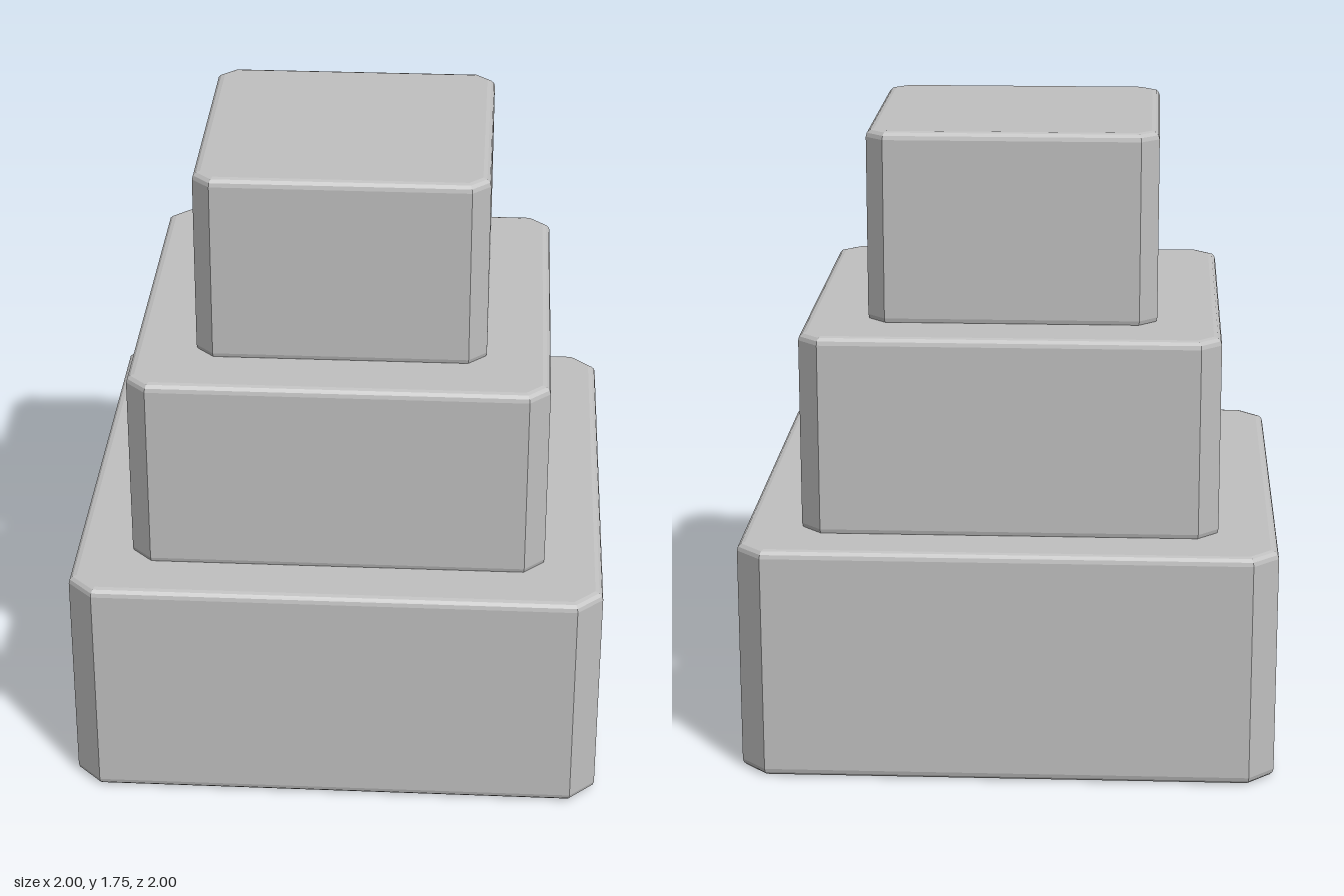
import * as THREE from 'three';

// Diamond-plan block with clipped corners and softened top and bottom edges
function tierBlock(reach, clip, y0, y1, bevel) {
  const shape = new THREE.Shape();
  for (let i = 0; i < 4; i++) {
    const c = Math.round(Math.cos(i * Math.PI / 2));
    const s = Math.round(Math.sin(i * Math.PI / 2));
    for (const side of [-clip, clip]) {
      const x = c * reach - s * side;
      const y = s * reach + c * side;
      if (i === 0 && side < 0) shape.moveTo(x, y);
      else shape.lineTo(x, y);
    }
  }
  shape.closePath();
  const geo = new THREE.ExtrudeGeometry(shape, {
    depth: y1 - y0 - 2 * bevel,
    bevelEnabled: true,
    bevelThickness: bevel,
    bevelSize: bevel,
    bevelOffset: -bevel,
    bevelSegments: 3,
  });
  geo.rotateX(-Math.PI / 2);
  geo.translate(0, y0 + bevel, 0);
  return geo;
}

export function createModel() {
  const model = new THREE.Group();
  model.name = 'steppedPedestal';
  const stone = new THREE.MeshStandardMaterial({ color: 0xc0c0c0 });
  stone.name = 'light grey';

  // Three stacked tiers, each slightly sunk into the one below
  const tiers = [
    ['bottomTier', 1.0, 0.05, 0, 0.66, 0.022],
    ['middleTier', 0.78, 0.04, 0.65, 1.22, 0.022],
    ['topTier', 0.535, 0.035, 1.21, 1.755, 0.022],
  ];
  for (const [name, ...dims] of tiers) {
    const mesh = new THREE.Mesh(tierBlock(...dims), stone);
    mesh.name = name;
    model.add(mesh);
  }
  return model;
}
